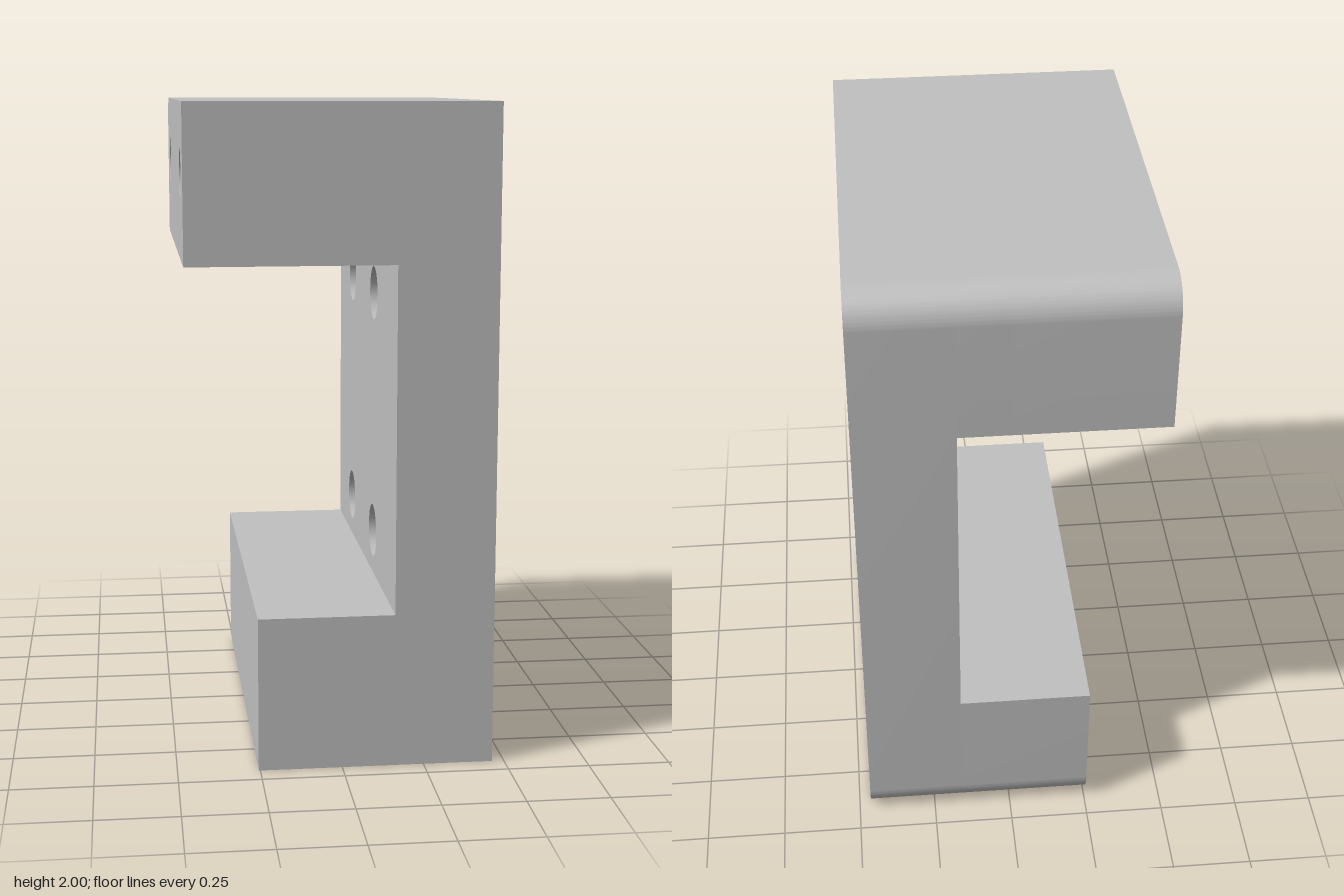
import * as THREE from 'three';
import { toCreasedNormals } from 'three/addons/utils/BufferGeometryUtils.js';

const HALF_DEPTH = 0.68, HEIGHT = 2, ROUND = 0.1;

// Side outline between two heights; u runs towards the back (u = -z).
// The back corner is rounded where asked for.
function outline(y0, y1, roundBottom, roundTop, holes = [], radius = 0) {
  const d = HALF_DEPTH, r = ROUND;
  const s = new THREE.Shape();
  s.moveTo(-d, y0);
  if (roundBottom) {
    s.lineTo(d - r, y0);
    s.absarc(d - r, y0 + r, r, -Math.PI / 2, 0, false);
  } else s.lineTo(d, y0);
  if (roundTop) {
    s.lineTo(d, y1 - r);
    s.absarc(d - r, y1 - r, r, 0, Math.PI / 2, false);
  } else s.lineTo(d, y1);
  s.lineTo(-d, y1);
  s.closePath();
  for (const [z, y] of holes) {
    s.holes.push(new THREE.Path().absarc(-z, y, radius, 0, Math.PI * 2, true));
  }
  return s;
}

export function createModel() {
  const group = new THREE.Group();
  const grey = new THREE.MeshStandardMaterial({ color: 0xc0c0c0 });
  grey.name = 'plainGrey';

  // Extrude an outline across the width from x0 to x1
  function slab(name, shape, x0, x1) {
    const geo = new THREE.ExtrudeGeometry(shape, { depth: x1 - x0, bevelEnabled: false, curveSegments: 14 });
    geo.rotateY(Math.PI / 2).translate(x0, 0, 0);
    const mesh = new THREE.Mesh(toCreasedNormals(geo, 0.6), grey);
    mesh.name = name;
    group.add(mesh);
  }

  // Upright plate with four through holes
  const plateHoles = [];
  for (const z of [0.18, -0.34]) for (const y of [0.613, 1.392]) plateHoles.push([z, y]);
  slab('mountingPlate', outline(0, HEIGHT, true, true, plateHoles, 0.085), 0.16, 0.463);

  // Upper jaw: drilled outer block with two blind holes, solid inner block
  slab('upperJawDrilled', outline(1.53, HEIGHT, false, true, [[-0.46, 1.79], [0.48, 1.79]], 0.072), -0.463, 0);
  slab('upperJawSolid', outline(1.53, HEIGHT, false, true), 0, 0.16);

  // Shorter lower jaw
  slab('lowerJaw', outline(0, 0.475, true, false), -0.255, 0.16);

  return group;
}
